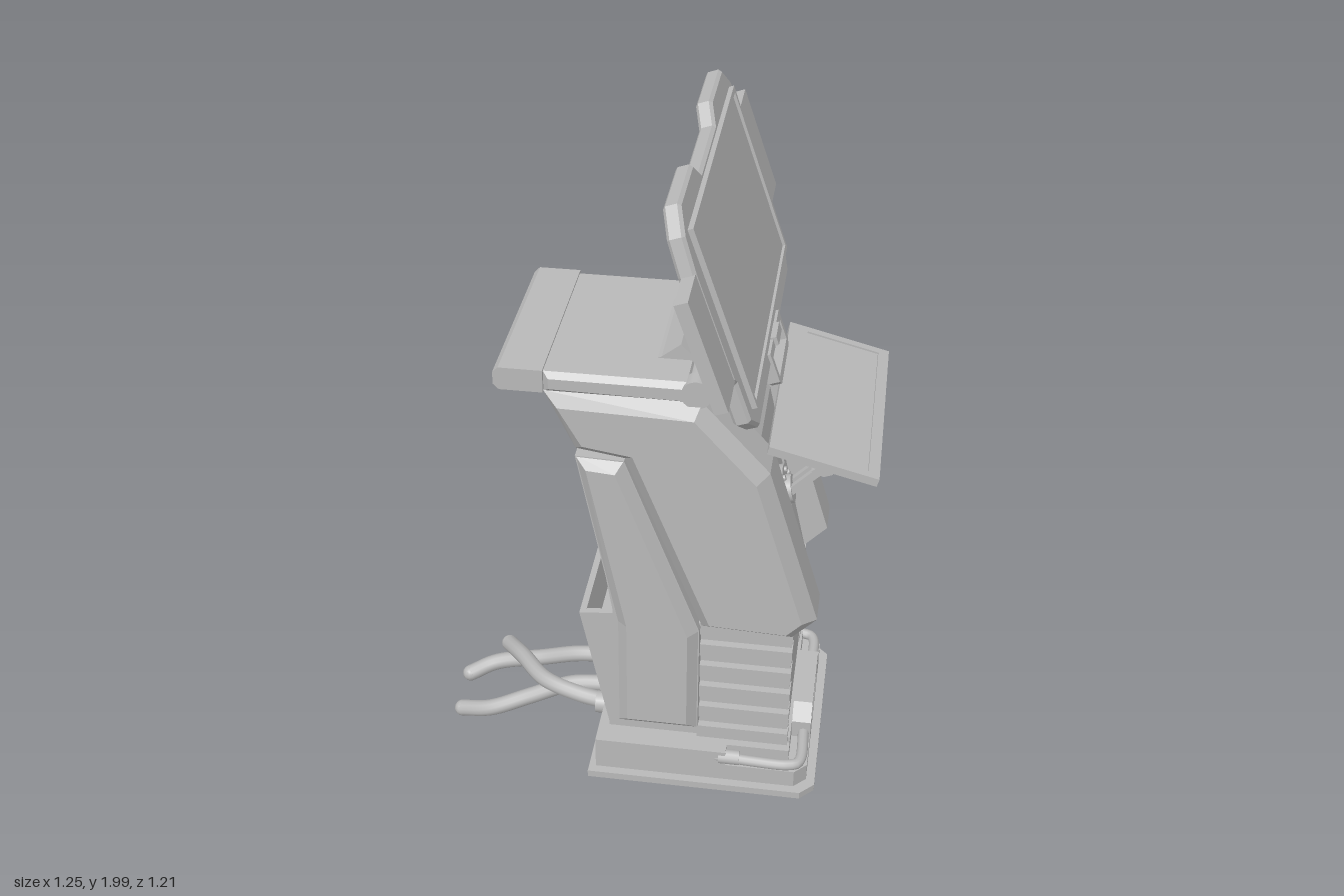
import * as THREE from 'three';

export function createModel() {
  const root = new THREE.Group();
  root.name = 'kiosk';
  const grey = new THREE.MeshStandardMaterial({ color: 0xb8b8b8 });
  grey.name = 'plain grey';

  const add = (name, geo, parent = root) => {
    const m = new THREE.Mesh(geo, grey);
    m.name = name;
    parent.add(m);
    return m;
  };
  const group = (name, x, y, tilt) => {
    const g = new THREE.Group();
    g.name = name;
    g.position.set(x, y, 0);
    g.rotation.z = tilt;
    root.add(g);
    return g;
  };
  const outline = (pts) => new THREE.Shape(pts.map(([x, y]) => new THREE.Vector2(x, y)));
  // Outline extruded from a to b, with an optional chamfer kept inside both limits
  const extrude = (shape, a, b, chamfer = 0, depthOfChamfer = chamfer) =>
    new THREE.ExtrudeGeometry(shape, {
      depth: b - a - 2 * depthOfChamfer, bevelEnabled: chamfer > 0, bevelSegments: 1,
      bevelSize: chamfer, bevelOffset: -chamfer, bevelThickness: depthOfChamfer, curveSegments: 6,
    }).translate(0, 0, a + depthOfChamfer);
  const prismZ = (pts, a, b, c, d) => extrude(outline(pts), a, b, c, d);
  // Outline in (z, y), extruded along x
  const prismX = (shape, a, b, c, d) => extrude(shape, a, b, c, d).rotateY(Math.PI / 2);
  const mirrored = (half) => outline([...half, ...half.slice().reverse().map(([z, y]) => [-z, y])]);
  const rect = (w, y0, y1) => mirrored([[w, y0], [w, y1]]);
  const frame = (w, y0, y1, t) => {
    const s = rect(w, y0, y1);
    s.holes.push(rect(w - t, y0 + t, y1 - t));
    return s;
  };
  const box = (x0, x1, y0, y1, z0, z1) =>
    new THREE.BoxGeometry(x1 - x0, y1 - y0, z1 - z0)
      .translate((x0 + x1) / 2, (y0 + y1) / 2, (z0 + z1) / 2);
  const tube = (pts, r, tension = 0.5) =>
    new THREE.TubeGeometry(new THREE.CatmullRomCurve3(
      pts.map((p) => new THREE.Vector3(...p)), false, 'catmullrom', tension), 32, r, 12);

  // Base: foot plate, lower block, narrower upper block
  const plan = (x0, x1, w, c) =>
    outline([[x0, -w], [x1 - c, -w], [x1, -w + c], [x1, w - c], [x1 - c, w], [x0, w]]);
  add('footPlate', extrude(plan(-0.15, 0.51, 0.33, 0.04), 0.09, 0.112).rotateX(-Math.PI / 2));
  add('baseBlock', extrude(plan(-0.13, 0.485, 0.305, 0.035), 0.11, 0.168).rotateX(-Math.PI / 2));
  add('baseRear', box(-0.13, 0.25, 0.16, 0.215, -0.305, 0.305));
  add('baseFront', box(0.2, 0.43, 0.16, 0.215, -0.27, 0.27));
  add('baseStep', box(-0.1, 0.43, 0.21, 0.235, -0.235, 0.235));

  // Arched handle on the front of the base
  const arch = mirrored([[0.155, 0.16], [0.155, 0.225], [0.115, 0.27]]);
  arch.holes.push(mirrored([[0.115, 0.168], [0.115, 0.2], [0.09, 0.225]]));
  add('baseHandle', prismX(arch, 0.43, 0.485));

  // Main body
  add('bodyCore', prismZ([[-0.08, 0.2], [0.42, 0.2], [0.42, 0.65], [0.3, 1.18], [0.15, 1.38],
    [-0.25, 1.38], [-0.17, 1.21], [-0.085, 0.65]], -0.235, 0.235));
  add('topCap', prismZ([[-0.25, 1.375], [0.15, 1.375], [0.12, 1.435], [-0.25, 1.435]], -0.275, 0.275, 0.015));
  add('rearGrip', prismZ([[-0.38, 1.39], [-0.365, 1.375], [-0.25, 1.375], [-0.25, 1.44], [-0.365, 1.44],
    [-0.38, 1.425]], -0.27, 0.27));

  const upper = [[-0.25, 1.38], [-0.17, 1.21], [-0.04, 1.19], [0.17, 0.65], [0.42, 0.64],
    [0.485, 0.71], [0.34, 1.18], [0.16, 1.38]];
  const lower = [[-0.17, 1.195], [-0.04, 1.19], [0.165, 0.64], [0.165, 0.28], [-0.065, 0.28], [-0.065, 0.65]];
  for (const s of [1, -1]) {
    const side = s > 0 ? 'left' : 'right';
    const span = (a, b) => (s > 0 ? [a, b] : [-b, -a]);
    // Deep upper side column with a chamfered face, and the lower side panel
    add(side + 'Column', prismZ(upper, ...span(0.155, 0.265)));
    add(side + 'UpperPanel', prismZ(upper, ...span(0.205, 0.305), 0.035, 0.04));
    add(side + 'LowerPanelEdge', prismZ(lower, ...span(0.2, 0.28)));
    add(side + 'LowerPanel', prismZ(lower, ...span(0.2, 0.305), 0.03, 0.028));
    // Vent slats
    for (let i = 0; i < 6; i++) {
      const y = 0.225 + i * 0.077;
      add(side + 'Slat', box(0.16, 0.423, y, y + 0.042, ...span(0.2, 0.257)));
    }
    // Rail around the front corner of the base
    add(side + 'BaseRail', tube([[0.22, 0.188, s * 0.29], [0.33, 0.185, s * 0.295], [0.43, 0.185, s * 0.295],
      [0.465, 0.185, s * 0.265], [0.465, 0.185, s * 0.15]], 0.016));
    add(side + 'RailSleeve', new THREE.CylinderGeometry(0.022, 0.022, 0.06, 12)
      .rotateZ(Math.PI / 2).translate(0.26, 0.188, s * 0.29));
    add(side + 'HingeCap', new THREE.CylinderGeometry(0.04, 0.04, 0.05, 20)
      .rotateX(Math.PI / 2).translate(0.145, 1.405, s * 0.25));
  }

  // Raised service panel and open bin on the back
  add('rearPanel', prismZ([[-0.148, 0.98], [-0.128, 0.98], [-0.08, 0.64], [-0.1, 0.64]], -0.09, 0.09));
  const binSide = [[-0.18, 0.63], [-0.07, 0.64], [-0.07, 0.23], [-0.1, 0.23]];
  for (const z of [-0.235, 0.215]) add('binSide', prismZ(binSide, z, z + 0.02));
  add('binBack', prismZ([[-0.18, 0.63], [-0.162, 0.632], [-0.085, 0.23], [-0.1, 0.23]], -0.225, 0.225));
  add('binFloor', prismZ([[-0.157, 0.53], [-0.07, 0.53], [-0.07, 0.23], [-0.098, 0.23]], -0.22, 0.22));

  // Screen hinge and neck
  add('hingeBlock', prismZ([[0, 1.42], [0.04, 1.44], [0.09, 1.48], [0.13, 1.44], [0.14, 1.4]], -0.155, 0.155));
  add('hingeRod', new THREE.CylinderGeometry(0.03, 0.03, 0.5, 20).rotateX(Math.PI / 2).translate(0.145, 1.405, 0));
  add('screenNeck', prismZ([[0.13, 1.38], [0.17, 1.375], [0.28, 1.42], [0.24, 1.5], [0.15, 1.44]], -0.13, 0.13));

  // Tilted screen: local x faces out of the display, local y runs up it
  const screen = group('screen', 0.22, 1.7, 0.333);
  const shell = mirrored([[0.4, -0.305], [0.465, -0.25], [0.465, -0.14], [0.48, -0.125], [0.48, 0.17],
    [0.46, 0.26], [0.4, 0.317], [0.19, 0.317], [0.14, 0.27]]);
  add('screenShell', prismX(shell, -0.045, 0, 0.008), screen);
  add('screenWings', prismX(rect(0.607, -0.127, 0.17), -0.036, -0.002), screen);
  add('screenBezel', prismX(frame(0.42, -0.24, 0.256, 0.014), -0.005, 0.014), screen);
  add('displayPane', prismX(rect(0.41, -0.23, 0.246), -0.005, 0.006), screen);
  add('backHousing', prismX(mirrored([[0.3, -0.25], [0.36, -0.19], [0.36, 0.09], [0.3, 0.15]]),
    -0.085, -0.005, 0.025), screen);
  add('backPlate', prismX(rect(0.24, -0.19, 0.09), -0.092, -0.08), screen);
  // Pull handle under the display
  const pull = mirrored([[0.1, -0.37], [0.117, -0.355], [0.117, -0.27]]);
  pull.holes.push(mirrored([[0.098, -0.35], [0.098, -0.29]]));
  add('pullHandle', prismX(pull, -0.02, 0.008), screen);
  add('pullLatch', box(-0.01, 0.018, -0.29, -0.265, -0.04, 0.04), screen);

  // Tray with a raised rim
  const tray = group('tray', 0.475, 1.25, -0.25);
  add('trayBoard', box(-0.145, 0.145, -0.011, 0.007, -0.317, 0.317), tray);
  const rim = rect(0.317, -0.145, 0.145);
  rim.holes.push(rect(0.293, -0.115, 0.092));
  add('trayRim', extrude(rim, 0.006, 0.012).rotateX(-Math.PI / 2).rotateY(Math.PI / 2), tray);

  // Mount on the front of the body
  const mount = group('trayMount', 0.353, 0.945, 0.22);
  const pocket = mirrored([[0.085, -0.1], [0.12, -0.07], [0.12, 0.085], [0.085, 0.12]]);
  pocket.holes.push(mirrored([[0.07, -0.08], [0.098, -0.055], [0.098, 0.07], [0.07, 0.1]]));
  add('mountSurround', prismX(pocket, -0.005, 0.006), mount);
  const disc = (r, x0, x1) => new THREE.CylinderGeometry(r, r, x1 - x0, 24)
    .rotateZ(Math.PI / 2).translate((x0 + x1) / 2, 0, 0);
  add('mountDisc', disc(0.07, -0.01, 0.018), mount);
  add('mountHub', disc(0.04, 0, 0.035), mount);
  for (let i = 0; i < 8; i++) {
    const a = (i + 0.5) * Math.PI / 4;
    add('mountBolt', disc(0.008, 0.01, 0.025).translate(0, 0.055 * Math.sin(a), 0.055 * Math.cos(a)), mount);
  }

  // Tray arm: lower links, elbow, upright struts
  for (const z of [-0.02, 0.02]) {
    add('lowerLink', prismZ([[0.36, 0.95], [0.37, 0.93], [0.48, 1.04], [0.465, 1.06]], z - 0.009, z + 0.009));
    add('elbowPlate', prismZ([[0.435, 1.035], [0.47, 1.02], [0.495, 1.03], [0.485, 1.09], [0.465, 1.06]],
      z - 0.012, z + 0.012));
  }
  for (const x of [0.445, 0.478]) {
    add('upright', prismZ([[x - 0.008, 1.03], [x + 0.008, 1.03], [x + 0.012, 1.25], [x - 0.008, 1.25]], -0.018, 0.018));
  }

  // Cables leaving the back of the base
  const cables = [
    [[-0.11, 0.18, 0.02], [-0.25, 0.165, 0.02], [-0.38, 0.115, 0.04], [-0.5, 0.07, 0.062], [-0.6, 0.035, 0.04]],
    [[-0.11, 0.18, -0.11], [-0.25, 0.165, -0.12], [-0.38, 0.12, -0.135], [-0.52, 0.085, -0.135], [-0.605, 0.06, -0.095]],
    [[-0.11, 0.185, 0.11], [-0.22, 0.2, 0.1], [-0.33, 0.205, 0.055], [-0.42, 0.185, -0.06], [-0.49, 0.14, -0.165]],
  ];
  for (const path of cables) {
    add('cable', tube(path, 0.025));
    const [x, y, z] = path[path.length - 1];
    add('cableEnd', new THREE.SphereGeometry(0.025, 12, 8).translate(x, y, z));
    add('cableSocket', new THREE.CylinderGeometry(0.033, 0.033, 0.04, 16)
      .rotateZ(Math.PI / 2).translate(-0.14, path[0][1], path[0][2]));
  }

  // Centre on the floor and scale to a height of 2
  const bounds = new THREE.Box3().setFromObject(root);
  root.position.y = -bounds.min.y;
  return root;
}
